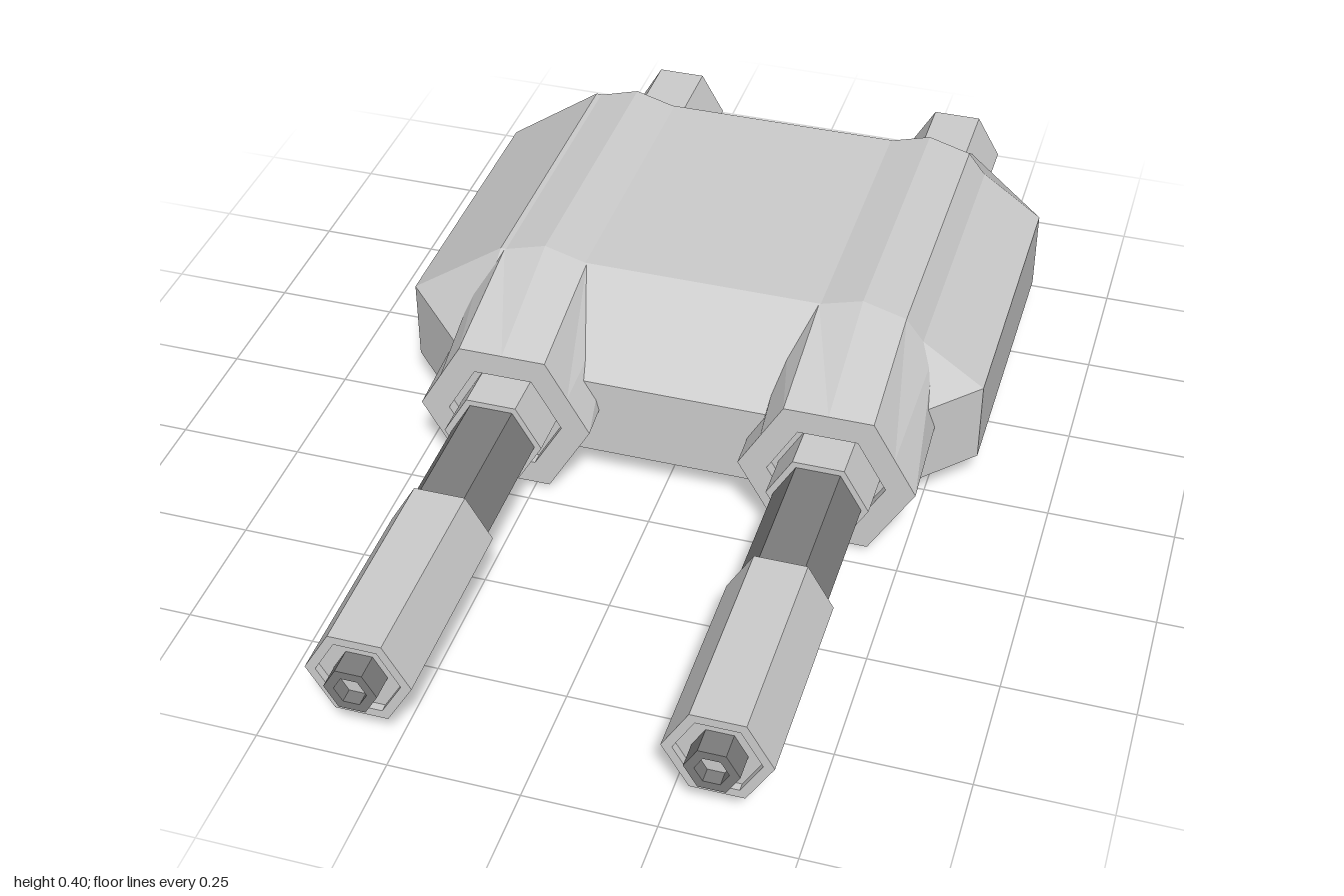
import * as THREE from 'three';
import { ConvexGeometry } from 'three/addons/geometries/ConvexGeometry.js';

const lightGrey = new THREE.MeshStandardMaterial({ color: 0xcccccc });
lightGrey.name = 'lightGrey';
const darkGrey = new THREE.MeshStandardMaterial({ color: 0x7c7c7c });
darkGrey.name = 'darkGrey';

function faceted(geometry) {
  const g = geometry.index ? geometry.toNonIndexed() : geometry;
  g.computeVertexNormals();
  return g;
}

function part(name, geometry, material) {
  const mesh = new THREE.Mesh(geometry, material);
  mesh.name = name;
  return mesh;
}

// six-sided turned part along z; profile is [radius, z] from back to front
function hexTurned(profile) {
  const pts = profile.map(([r, z]) => new THREE.Vector2(r, z));
  const g = new THREE.LatheGeometry(pts, 6, Math.PI / 2);
  g.rotateX(Math.PI / 2);
  return faceted(g);
}

// skin over equal-sized rings of [x, y, z], ordered back to front
function loft(rings) {
  const n = rings[0].length;
  const index = [];
  for (let i = 0; i < rings.length - 1; i++) {
    for (let j = 0; j < n; j++) {
      const a = i * n + j, b = i * n + (j + 1) % n;
      index.push(a, b, a + n, b, b + n, a + n);
    }
  }
  const g = new THREE.BufferGeometry();
  g.setAttribute('position', new THREE.Float32BufferAttribute(rings.flat(2), 3));
  g.setIndex(index);
  return faceted(g);
}

// hexagon with edge midpoints, so it joins the twelve-sided section
function hexRing(r, z) {
  return Array.from({ length: 12 }, (_, j) => {
    const a = j * Math.PI / 6;
    const d = j % 2 ? r * Math.cos(Math.PI / 6) : r;
    return [d * Math.cos(a), d * Math.sin(a), z];
  });
}

// tall twelve-sided section at the back of a gun housing
const AXIS_Y = 0.17;
const quarter = [[0.17, 0], [0.145, 0.1], [0.087, 0.175], [0, 0.2]];
const section = [
  ...quarter,
  ...quarter.slice(0, 3).reverse().map(([x, y]) => [-x, y]),
  ...quarter.slice(1).map(([x, y]) => [-x, -y]),
  ...quarter.slice(1, 3).reverse().map(([x, y]) => [x, -y]),
];
const sectionRing = (z, minY = -1) => section.map(([x, y]) => [x, Math.max(y, minY) + 0.034, z]);
const centreRing = (z, y = 0) => section.map(() => [0, y, z]);

function createBody() {
  const pts = [];
  for (const sx of [-1, 1]) {
    for (const y of [0.075, 0.245]) {
      for (const [x, z] of [[0.593, -0.05], [0.593, -0.665], [0.405, 0.15], [0.405, -0.87]]) {
        pts.push(new THREE.Vector3(sx * x, y, z));
      }
    }
    for (const z of [-0.05, -0.665]) pts.push(new THREE.Vector3(sx * 0.4, 0.38, z));
  }
  return part('body', faceted(new ConvexGeometry(pts)), lightGrey);
}

function createGun() {
  const gun = new THREE.Group();
  // tapered housing with a recess around the barrel
  gun.add(part('housing', loft([
    centreRing(-0.05), sectionRing(-0.05), hexRing(0.175, 0.215),
    hexRing(0.117, 0.215), hexRing(0.117, 0.19), centreRing(0.19),
  ]), lightGrey));
  // low ridge running back over the body
  gun.add(part('ridge', loft([
    centreRing(-0.663, 0.05), sectionRing(-0.663, 0), sectionRing(-0.05, 0), centreRing(-0.05, 0.05),
  ]), lightGrey));
  gun.add(part('barrelCollar', hexTurned([[0, 0.18], [0.1, 0.18], [0.1, 0.285], [0, 0.285]]), lightGrey));
  gun.add(part('barrel', hexTurned([[0.086, 0.28], [0.086, 0.56]]), darkGrey));
  // muzzle sleeve with a sunken end
  gun.add(part('muzzle', hexTurned([
    [0, 0.557], [0.1, 0.557], [0.1, 0.965], [0.08, 0.965], [0.08, 0.95], [0, 0.95],
  ]), lightGrey));
  gun.add(part('muzzleTip', hexTurned([
    [0.05, 0.945], [0.05, 1], [0.031, 1], [0.031, 0.97],
  ]), darkGrey));
  gun.add(part('bore', hexTurned([[0.031, 0.972], [0, 0.972]]), lightGrey));
  gun.add(part('rearStub', hexTurned([[0, -1], [0.1, -1], [0.1, -0.75], [0, -0.75]]), lightGrey));
  return gun;
}

export function createModel() {
  const model = new THREE.Group();
  model.name = 'twinBarrelPod';
  model.add(createBody());
  for (const [name, x] of [['rightGun', -0.305], ['leftGun', 0.345]]) {
    const gun = createGun();
    gun.name = name;
    gun.position.set(x, AXIS_Y, 0);
    model.add(gun);
  }
  return model;
}
